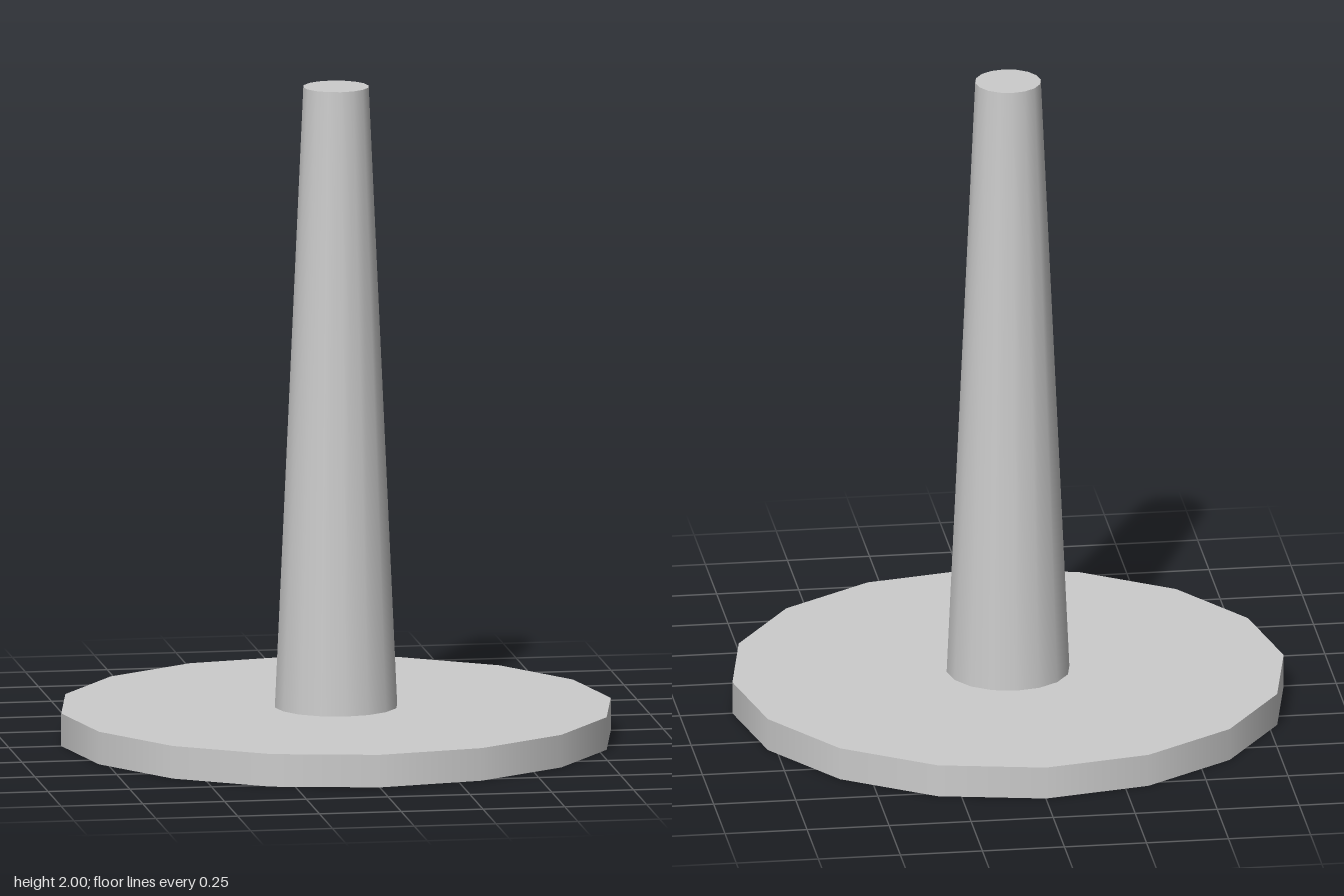
import * as THREE from 'three';

const SIDES = 16;

export function createModel() {
  const group = new THREE.Group();
  const material = new THREE.MeshStandardMaterial({ color: 0xcccccc });

  // Upright round part resting on a given height
  const addRound = (name, topRadius, bottomRadius, bottom, top) => {
    const geometry = new THREE.CylinderGeometry(topRadius, bottomRadius, top - bottom, SIDES);
    const mesh = new THREE.Mesh(geometry, material);
    mesh.name = name;
    mesh.position.y = (bottom + top) / 2;
    group.add(mesh);
  };

  // Flat disc base
  addRound('base', 0.84, 0.84, 0, 0.1);
  // Tapered post standing on the base
  addRound('post', 0.1, 0.187, 0.1, 2);

  return group;
}
